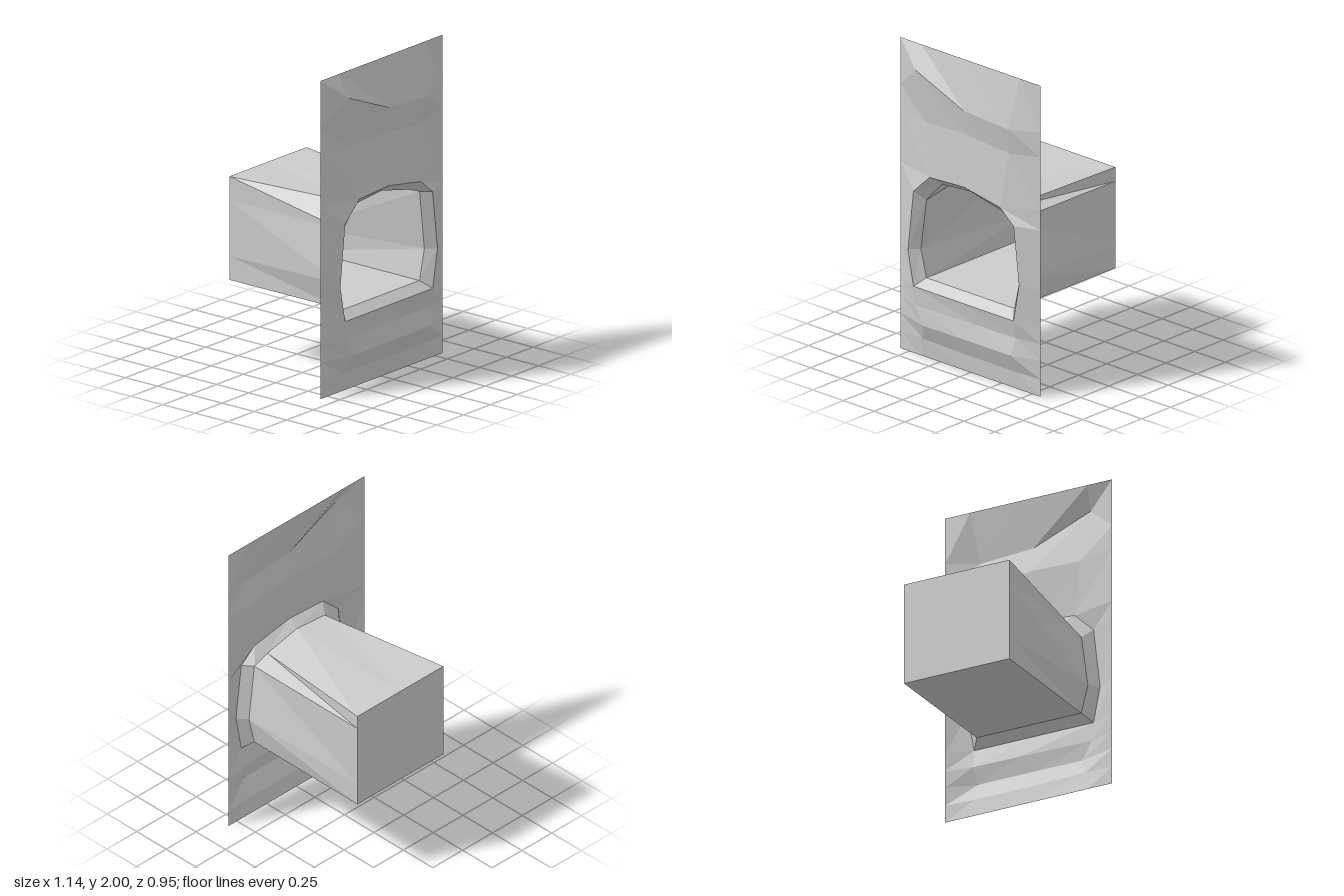
import * as THREE from 'three';

const material = new THREE.MeshStandardMaterial({ color: 0xcccccc, flatShading: true, side: THREE.DoubleSide });

const W = 0.57;        // half width of the wall panel
const EDGE = 0.405;    // depth of the panel rim and of the tunnel mouth
const FACE = 0.465;    // depth of the raised face around the opening
const BACK = -0.475;   // depth of the tunnel's end wall

// Joins consecutive rows of [x, y, z] points, listed top row first and left to right.
function skin(name, rows) {
  const n = rows[0].length;
  const index = [];
  for (let r = 0; r < rows.length - 1; r++) {
    for (let c = 0; c < n - 1; c++) {
      const a = r * n + c, b = a + 1, d = a + n, e = d + 1;
      index.push(a, d, e, a, e, b);
    }
  }
  const indexed = new THREE.BufferGeometry();
  indexed.setAttribute('position', new THREE.Float32BufferAttribute(rows.flat(2), 3));
  indexed.setIndex(index);
  const geometry = indexed.toNonIndexed();
  geometry.computeVertexNormals();
  const mesh = new THREE.Mesh(geometry, material);
  mesh.name = name;
  return mesh;
}

// A panel row: the straight side edges plus three uneven points between them.
const row = (edgeY, ...inner) => [[-W, edgeY, EDGE], ...inner, [W, edgeY, EDGE]];
const atDepth = (points, z) => points.map(([x, y]) => [x, y, z]);

export function createModel() {
  const group = new THREE.Group();
  group.name = 'wallNiche';

  // Opening outlines, running from bottom left over the arch and back along the sill
  const rim = atDepth([[-0.41, 0.46], [-0.455, 0.685], [-0.41, 1.07], [-0.28, 1.195], [0, 1.21],
    [0.295, 1.16], [0.405, 1.07], [0.45, 0.7], [0.405, 0.46], [0, 0.46], [-0.41, 0.46]], FACE);
  const mouth = atDepth([[-0.36, 0.51], [-0.405, 0.685], [-0.36, 1.01], [-0.235, 1.145], [0, 1.165],
    [0.245, 1.11], [0.355, 1.07], [0.4, 0.7], [0.355, 0.51], [0, 0.51], [-0.36, 0.51]], EDGE);
  const end = atDepth([[-0.36, 0.51], [-0.36, 0.66], [-0.36, 1.01], [-0.36, 1.16], [0, 1.16],
    [0.36, 1.16], [0.36, 1.07], [0.36, 0.66], [0.36, 0.51], [0, 0.51], [-0.36, 0.51]], BACK);

  // Uneven wall above the opening
  group.add(skin('upperWall', [
    row(2, [-0.4, 2, EDGE], [0, 2, EDGE], [0.4, 2, EDGE]),
    row(1.7, [-0.385, 1.86, 0.475], [0, 1.7, 0.465], [0.36, 1.68, 0.465]),
    row(1.54, [-0.33, 1.53, 0.44], [0, 1.54, 0.44], [0.34, 1.51, 0.435]),
    row(1.2, rim[3], rim[4], rim[5]),
  ]));

  // Uneven wall below the opening
  group.add(skin('lowerWall', [
    row(0.46, rim[0], rim[9], rim[8]),
    row(0.34, [-0.4, 0.34, 0.46], [0.09, 0.34, 0.445], [0.4, 0.34, 0.44]),
    row(0.23, [-0.33, 0.23, 0.47], [0, 0.23, 0.465], [0.38, 0.23, 0.465]),
    row(0.11, [-0.38, 0.12, 0.42], [0, 0.11, 0.415], [0.38, 0.11, 0.415]),
    row(0, [-0.4, 0, EDGE], [0, 0, EDGE], [0.4, 0, EDGE]),
  ]));

  // Wall strips beside the opening
  const sideHeights = [1.2, 1.07, 0.685, 0.46];
  group.add(skin('rightWallStrip', sideHeights.map((y, i) => [[-W, y, EDGE], rim[3 - i]])));
  group.add(skin('leftWallStrip', sideHeights.map((y, i) => [rim[5 + i], [W, y, EDGE]])));

  // Bevelled opening and the tunnel behind it, arched in front and square at the end
  group.add(skin('openingBevel', [rim, mouth]));
  group.add(skin('tunnel', [mouth, end]));

  // Flat end wall
  const endWall = new THREE.Mesh(new THREE.PlaneGeometry(0.72, 0.65), material);
  endWall.position.set(0, 0.835, BACK);
  endWall.name = 'endWall';
  group.add(endWall);

  return group;
}
